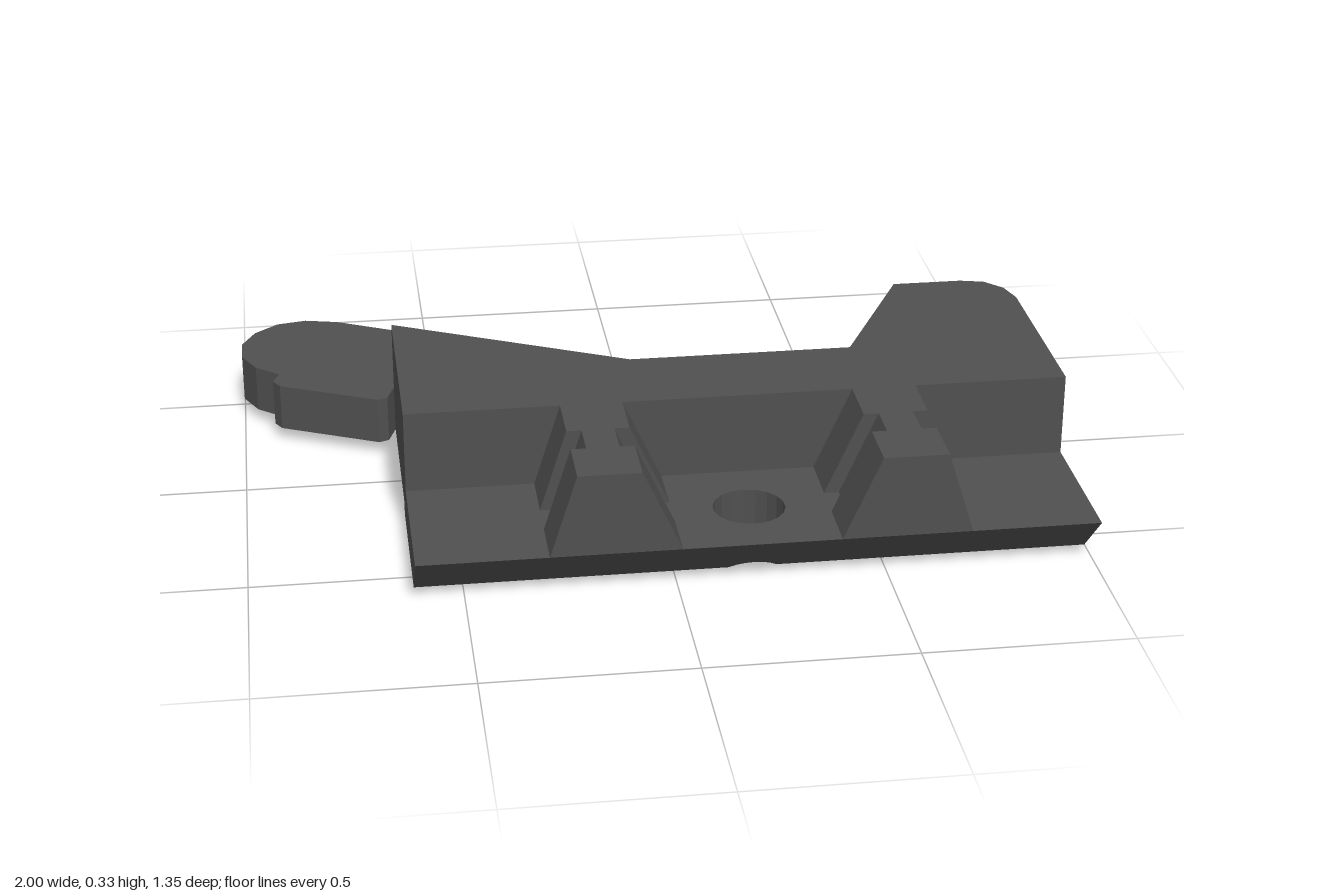
import * as THREE from 'three';

const LEFT = 1, RIGHT = -0.615;

// Circle or arc points in plan (x, z)
function arc(cx, cz, r, from, to, n) {
  const pts = [];
  for (let i = 0; i <= n; i++) {
    const a = from + (to - from) * i / n;
    pts.push([cx + r * Math.cos(a), cz + r * Math.sin(a)]);
  }
  return pts;
}

const vectors = pts => pts.map(([x, y]) => new THREE.Vector2(x, y));

// Vertical slab from a plan outline (x, z), between two heights
function slab(outline, bottom, top, hole) {
  const shape = new THREE.Shape(vectors(outline));
  if (hole) shape.holes.push(new THREE.Path(vectors(hole)));
  const g = new THREE.ExtrudeGeometry(shape, { depth: top - bottom, bevelEnabled: false });
  g.rotateX(Math.PI / 2);
  g.translate(0, top, 0);
  return g;
}

export function createModel() {
  const group = new THREE.Group();
  const darkGrey = new THREE.MeshStandardMaterial({ color: 0x505050 });
  darkGrey.name = 'dark grey';
  const add = (name, geometry) => {
    const mesh = new THREE.Mesh(geometry, darkGrey);
    mesh.name = name;
    group.add(mesh);
  };

  const corner = [[0.88, -0.315], [0.94, -0.3], [0.982, -0.255], [LEFT, -0.19]];

  // Base plate with the rounded lever arm
  const arm = [
    [-0.615, -0.225], [-0.635, -0.165], [-0.66, -0.155], [-0.905, -0.27], [-0.922, -0.3],
    [-0.905, -0.34], [-0.965, -0.39], [-1, -0.46], [-1, -0.54], [-0.965, -0.61],
    [-0.905, -0.66], [-0.83, -0.675], [-0.745, -0.655], [-0.07, -0.315],
  ];
  add('basePlateWithArm', slab(
    [...arm, ...corner, [LEFT, 0.3], [RIGHT, 0.3]], 0.035, 0.155,
    arc(0.335, 0.08, 0.073, 0, Math.PI * 2, 16).slice(0, -1)));

  // Raised body around the V-shaped pocket
  add('raisedBody', slab(
    [[RIGHT, -0.225], [0.4, 0.28], [0.703, -0.315], ...corner, [LEFT, 0.3], [RIGHT, 0.3]],
    0.155, 0.33));

  // Underside pad, relieved around the rear screw hole
  const relief = Math.asin(0.1 / 0.13);
  add('undersidePad', slab(
    [[RIGHT, 0.18], ...arc(0.335, 0.08, 0.13, Math.PI - relief, relief, 8),
      [LEFT, 0.18], [LEFT, 0.3], [RIGHT, 0.3]], 0, 0.035));

  // Front shelf, split at the chamfer line through the screw hole
  const crease = 0.55, hx = 0.19, hz = 0.485, hr = 0.087;
  const cut = Math.asin((crease - hz) / hr);
  add('frontShelf', slab(
    [[RIGHT, 0.3], [LEFT, 0.3], [LEFT, crease],
      ...arc(hx, hz, hr, cut, cut - (Math.PI + 2 * cut), 14), [RIGHT, crease]], 0, 0.125));

  // Chamfered lip: the underside rises at 45 degrees
  const lip = slab(
    [[RIGHT, crease], ...arc(hx, hz, hr, Math.PI - cut, cut, 6),
      [LEFT, crease], [LEFT, 0.675], [RIGHT, 0.675]], 0, 0.125);
  const p = lip.attributes.position;
  for (let i = 0; i < p.count; i++) {
    if (p.getY(i) < 0.01) p.setY(i, p.getZ(i) - crease);
  }
  lip.computeVertexNormals();
  add('chamferedLip', lip);

  // Two tapered posts, each with a groove on both flanks
  const posts = [
    { name: 'rightPost', foot: [-0.305, 0.005], crown: [-0.24, -0.09] },
    { name: 'leftPost', foot: [0.38, 0.69], crown: [0.47, 0.625] },
  ];
  const slices = [[0.3, 0.44, 0], [0.44, 0.535, 0.036], [0.535, 0.675, 0]];
  for (const { name, foot, crown } of posts) {
    for (const [z0, z1, inset] of slices) {
      const shape = new THREE.Shape(vectors([
        [foot[0] + inset, 0.125], [foot[1] - inset, 0.125],
        [crown[1] - inset, 0.33], [crown[0] + inset, 0.33],
      ]));
      const g = new THREE.ExtrudeGeometry(shape, { depth: z1 - z0, bevelEnabled: false });
      g.translate(0, 0, z0);
      add(name, g);
    }
  }

  return group;
}
